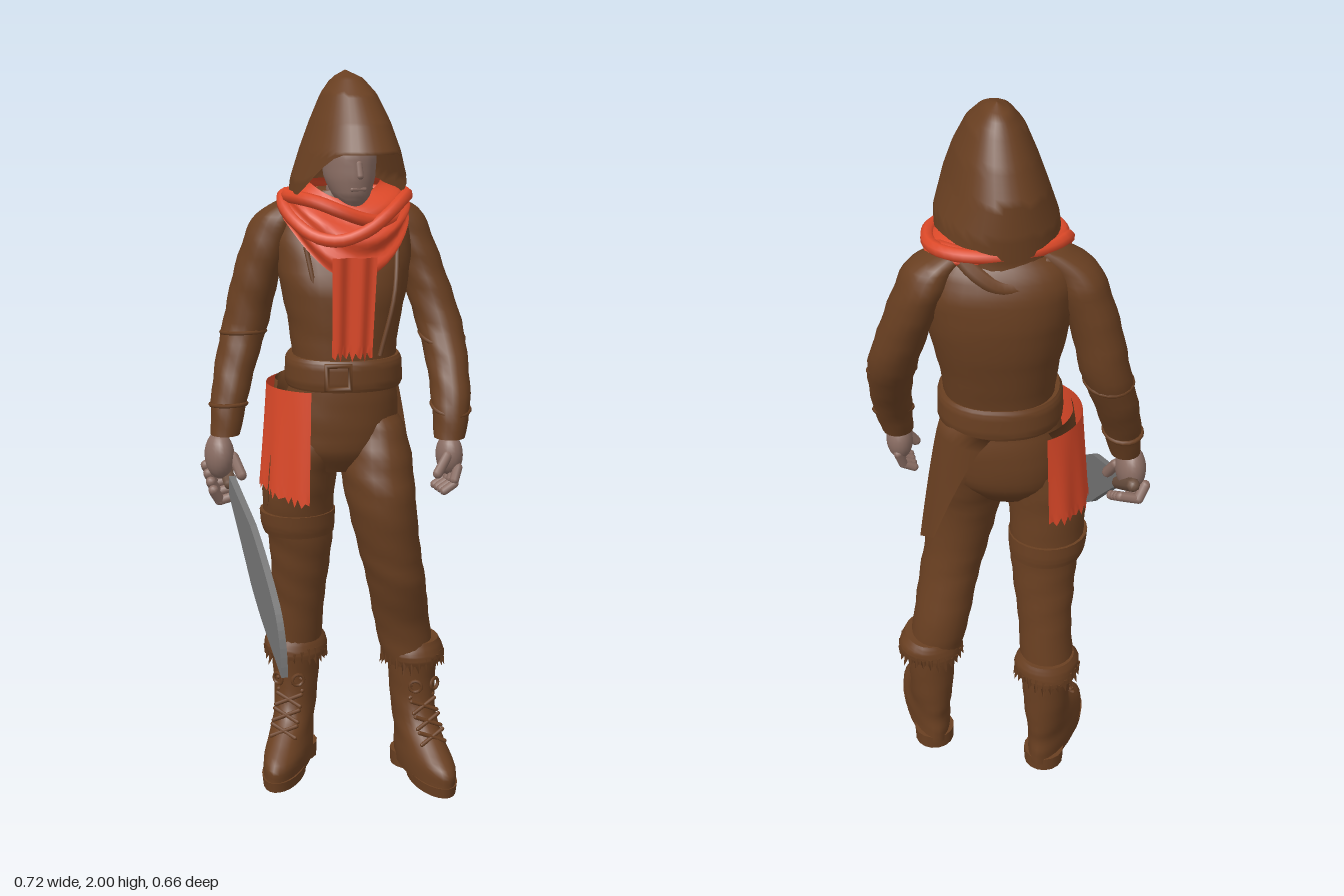
import * as THREE from 'three';
import { toCreasedNormals } from 'three/addons/utils/BufferGeometryUtils.js';
import { ParametricGeometry } from 'three/addons/geometries/ParametricGeometry.js';

const { sin, cos, PI } = Math;
const { lerp, smoothstep } = THREE.MathUtils;
const mat = (name, color) => Object.assign(new THREE.MeshStandardMaterial({ color, side: THREE.DoubleSide }), { name });
const bulge = (s, power) => Math.sign(s) * Math.abs(s) ** power;

export function createModel() {
  const leather = mat('brown cloth', 0x693f21), red = mat('red cloth', 0xdb4828);
  const skin = mat('skin', 0x8a6d63), steel = mat('steel', 0x767676), grip = mat('grip', 0x6b5040);
  const model = new THREE.Group();

  const add = (name, geo, m, parent = model) => {
    const mesh = new THREE.Mesh(geo, m);
    mesh.name = name;
    parent.add(mesh);
    return mesh;
  };

  // Smooth stack of horizontal ellipses, rows [x, y, z, rx, rz] from the bottom up
  const loft = (rows, { yaw = 0, wrinkle = 0, n = 24, steps = 4, power = 1 } = {}) => {
    const mid = new THREE.CatmullRomCurve3(rows.map(r => new THREE.Vector3(r[0], r[1], r[2])));
    const rad = new THREE.CatmullRomCurve3(rows.map(r => new THREE.Vector3(r[3], r[4], 0)));
    const pos = [], idx = [], count = (rows.length - 1) * steps;
    for (let j = -1; j <= count + 1; j++) {
      const t = Math.min(Math.max(j / count, 0), 1), c = mid.getPoint(t), r = rad.getPoint(t);
      const k = j < 0 || j > count ? 0.001 : 1;
      for (let i = 0; i < n; i++) {
        const a = i / n * 2 * PI;
        const w = k * (1 + wrinkle * sin(70 * c.y + 3 * sin(a + 1)));
        const dx = r.x * bulge(sin(a), power) * w, dz = r.y * bulge(cos(a), power) * w;
        pos.push(c.x + dx * cos(yaw) + dz * sin(yaw), c.y, c.z - dx * sin(yaw) + dz * cos(yaw));
      }
    }
    for (let j = 0; j < count + 2; j++) for (let i = 0; i < n; i++) {
      const a = j * n + i, b = j * n + (i + 1) % n;
      idx.push(a, b, a + n, b, b + n, a + n);
    }
    const g = new THREE.BufferGeometry();
    g.setAttribute('position', new THREE.Float32BufferAttribute(pos, 3));
    g.setIndex(idx);
    return toCreasedNormals(g, 0.9);
  };
  const sheet = (fn, nu, nv) => new ParametricGeometry((u, v, p) => p.set(...fn(u, v)), nu, nv);

  // Rod between two points, used for fingers, laces and handle
  const rod = (name, a, b, r, m, parent) => {
    const p = new THREE.Vector3(...a), q = new THREE.Vector3(...b);
    const mesh = add(name, new THREE.CapsuleGeometry(r, p.distanceTo(q), 4, 8), m, parent);
    mesh.position.copy(p).add(q).multiplyScalar(0.5);
    mesh.quaternion.setFromUnitVectors(new THREE.Vector3(0, 1, 0), q.sub(p).normalize());
  };
  const ball = (name, [x, y, z], [sx, sy, sz], m) => {
    const mesh = add(name, new THREE.SphereGeometry(1, 20, 14), m);
    mesh.position.set(x, y, z);
    mesh.scale.set(sx, sy, sz);
  };

  // Coat body, turned so that its right shoulder lies back
  const yaw = -0.25;
  add('coat', loft([
    [0, 0.93, -0.12, 0.09, 0.085], [0.01, 1, -0.125, 0.15, 0.13], [0.02, 1.1, -0.125, 0.158, 0.138],
    [0.025, 1.2, -0.12, 0.14, 0.132], [0.03, 1.32, -0.13, 0.15, 0.145], [0.035, 1.45, -0.145, 0.176, 0.158],
    [0.04, 1.56, -0.168, 0.188, 0.138], [0.04, 1.63, -0.175, 0.17, 0.11], [0.04, 1.69, -0.16, 0.08, 0.08]
  ], { yaw, wrinkle: 0.008, n: 32, power: 0.86 }), leather);

  // Belt and buckle
  add('belt', loft([
    [0.025, 1.165, -0.12, 0.157, 0.145], [0.025, 1.18, -0.12, 0.162, 0.149],
    [0.025, 1.235, -0.12, 0.16, 0.148], [0.025, 1.25, -0.12, 0.152, 0.142]
  ], { yaw, n: 32, power: 0.9 }), leather);
  const buckle = add('buckle', new THREE.TorusGeometry(0.044, 0.009, 6, 4), leather);
  buckle.position.set(-0.04, 1.21, 0.024);
  buckle.rotation.set(0, -0.3, PI / 4, 'YXZ');

  // Coat tails sweeping from the back of the belt to both sides
  for (const s of [-1, 1]) add(s > 0 ? 'leftCoatTail' : 'rightCoatTail', sheet((u, v) => {
    const a = lerp(1.55, 2.7, u);
    return [
      0.01 + s * lerp(0.172 * sin(a), 0.232 - 0.025 * u, v ** 0.8),
      lerp(1.18, 0.78, v) + 0.04 * u * v,
      lerp(-0.13 + 0.16 * cos(a), (s > 0 ? -0.1 : -0.06) - 0.07 * u, v ** 0.8)
    ];
  }, 8, 8), leather);

  // Lapel edges down the chest
  for (const s of [-1, 1]) add('lapelSeam', new THREE.TubeGeometry(new THREE.CatmullRomCurve3([
    [0.12, 1.55, -0.03], [0.1, 1.42, 0.002], [0.06, 1.26, 0]
  ].map(([x, y, z]) => new THREE.Vector3(0.02 + s * x, y, z + (s > 0 ? 0.018 : -0.034)))), 10, 0.007, 6), leather);

  // Sleeves
  add('leftSleeve', loft([
    [0.268, 1.03, 0.062, 0.042, 0.045], [0.282, 1.12, 0.035, 0.052, 0.06], [0.293, 1.22, -0.02, 0.056, 0.07],
    [0.292, 1.33, -0.085, 0.063, 0.075], [0.265, 1.45, -0.13, 0.062, 0.08], [0.23, 1.56, -0.16, 0.063, 0.085],
    [0.2, 1.63, -0.17, 0.06, 0.075], [0.14, 1.67, -0.17, 0.045, 0.05]
  ], { wrinkle: 0.025, n: 18 }), leather);
  add('rightSleeve', loft([
    [-0.298, 1.03, -0.18, 0.04, 0.043], [-0.28, 1.12, -0.2, 0.05, 0.055], [-0.25, 1.22, -0.23, 0.057, 0.066],
    [-0.213, 1.33, -0.25, 0.063, 0.073], [-0.187, 1.45, -0.24, 0.063, 0.08], [-0.152, 1.56, -0.225, 0.065, 0.083],
    [-0.125, 1.62, -0.215, 0.063, 0.073], [-0.06, 1.67, -0.2, 0.045, 0.05]
  ], { wrinkle: 0.025, n: 18 }), leather);
  for (const [x, y, z, r] of [[0.293, 1.29, -0.06, 0.06], [0.28, 1.11, 0.038, 0.051], [-0.223, 1.3, -0.246, 0.06], [-0.283, 1.11, -0.198, 0.049]]) {
    const band = add('sleeveBand', new THREE.TorusGeometry(r, 0.006, 6, 20), leather);
    band.position.set(x, y, z);
    band.rotation.x = PI / 2 + (x > 0 ? 0.3 : -0.1);
    band.scale.y = 1.13;
  }

  // Left hand, relaxed
  ball('leftHand', [0.262, 0.985, 0.075], [0.036, 0.058, 0.045], skin);
  for (let i = 0; i < 4; i++) {
    const z = 0.045 + 0.022 * i;
    rod('leftFinger', [0.272, 0.955, z], [0.258, 0.915 + 0.003 * i, z + 0.01], 0.013, skin);
    rod('leftFingertip', [0.258, 0.913, z + 0.01], [0.228, 0.897, z + 0.012], 0.012, skin);
  }
  rod('leftThumb', [0.245, 0.99, 0.105], [0.212, 0.945, 0.115], 0.014, skin);

  // Right hand, closed round the handle
  ball('rightHand', [-0.318, 0.972, -0.175], [0.04, 0.066, 0.055], skin);
  for (let i = 0; i < 4; i++) {
    const z = -0.215 + 0.026 * i, y = 0.935 - 0.017 * i;
    rod('rightFinger', [-0.347, y, z], [-0.328, y - 0.032, z - 0.01], 0.015, skin);
    rod('rightFingertip', [-0.328, y - 0.034, z - 0.01], [-0.28, y - 0.022, z - 0.005], 0.014, skin);
  }
  rod('rightThumb', [-0.285, 0.97, -0.15], [-0.272, 0.925, -0.12], 0.015, skin);

  // Long curved blade with its handle
  const blade = new THREE.Shape();
  blade.moveTo(-0.12, 0.925);
  blade.lineTo(0.08, 0.845);
  blade.quadraticCurveTo(0.2, 0.77, 0.28, 0.69);
  blade.quadraticCurveTo(0.335, 0.63, 0.338, 0.52);
  blade.lineTo(0.24, 0.575);
  blade.quadraticCurveTo(0.16, 0.615, 0.08, 0.68);
  blade.quadraticCurveTo(0, 0.76, -0.12, 0.87);
  const bladeMesh = add('blade', new THREE.ExtrudeGeometry(blade, { depth: 0.018, bevelEnabled: false, curveSegments: 8 }), steel);
  bladeMesh.rotation.y = -PI / 2;
  bladeMesh.position.x = -0.29;
  rod('handle', [-0.299, 0.975, -0.26], [-0.299, 0.9, -0.14], 0.019, grip);

  // Legs
  add('rightLeg', loft([
    [-0.09, 0.34, -0.222, 0.075, 0.075], [-0.085, 0.5, -0.2, 0.073, 0.077], [-0.085, 0.6, -0.185, 0.081, 0.081],
    [-0.086, 0.7, -0.172, 0.09, 0.086], [-0.095, 0.8, -0.165, 0.1, 0.095], [-0.09, 0.92, -0.15, 0.1, 0.108],
    [-0.07, 1, -0.14, 0.09, 0.115], [-0.05, 1.08, -0.13, 0.07, 0.1]
  ], { wrinkle: 0.018 }), leather);
  add('leftLeg', loft([
    [0.205, 0.34, -0.058, 0.075, 0.078], [0.183, 0.46, -0.062, 0.079, 0.084], [0.153, 0.6, -0.037, 0.082, 0.098],
    [0.13, 0.7, -0.032, 0.086, 0.103], [0.105, 0.85, -0.038, 0.095, 0.12], [0.1, 0.95, -0.065, 0.1, 0.125],
    [0.1, 1.05, -0.1, 0.085, 0.125], [0.08, 1.12, -0.12, 0.06, 0.1]
  ], { wrinkle: 0.018 }), leather);
  add('thighStrap', loft([
    [-0.092, 0.735, -0.168, 0.1, 0.096], [-0.095, 0.76, -0.167, 0.105, 0.101], [-0.097, 0.8, -0.165, 0.107, 0.102]
  ]), leather);

  // Laced boots with fur cuffs
  for (const [name, x, z, turn] of [['leftBoot', 0.217, -0.062, 0.05], ['rightBoot', -0.088, -0.222, -0.58]]) {
    const boot = new THREE.Group();
    boot.name = name;
    boot.position.set(x, 0, z);
    boot.rotation.y = turn;
    model.add(boot);
    add('bootUpper', loft([
      [0, 0.025, 0.09, 0.06, 0.165], [0, 0.07, 0.088, 0.062, 0.162], [0, 0.12, 0.055, 0.058, 0.125],
      [0, 0.17, 0.016, 0.059, 0.09], [0, 0.25, 0, 0.064, 0.077], [0, 0.36, 0, 0.072, 0.08]
    ], { wrinkle: 0.012 }), leather, boot);
    add('sole', loft([[0, 0.005, 0.135, 0.056, 0.116], [0, 0.035, 0.135, 0.059, 0.12]]), leather, boot);
    const heel = add('heel', new THREE.CylinderGeometry(0.058, 0.056, 0.045, 16), leather, boot);
    heel.position.set(0, 0.0225, -0.012);
    for (let i = 0; i < 5; i++) for (const s of [-1, 1]) {
      const y = 0.13 + i * 0.037, f = zz => zz - Math.min(i, 3) * 0.028;
      rod('lace', [-0.036 * s, y, f(0.148)], [0.036 * s, y + 0.03, f(0.132)], 0.006, leather, boot);
    }
    for (const s of [-1, 1]) {
      const loop = add('laceLoop', new THREE.TorusGeometry(0.017, 0.005, 5, 12), leather, boot);
      loop.position.set(0.03 * s, 0.285, 0.088);
      loop.rotation.y = s * 0.5;
    }
    add('furCuff', loft([
      [0, 0.345, 0, 0.088, 0.09], [0, 0.365, 0, 0.09, 0.094], [0, 0.385, 0, 0.087, 0.09], [0, 0.408, 0, 0.074, 0.078]
    ], { wrinkle: 0.03 }), leather, boot);
    for (let i = 0; i < 26; i++) {
      const a = i / 26 * 2 * PI;
      const tuft = add('furTuft', new THREE.ConeGeometry(0.014, 0.04 + 0.012 * sin(i * 5), 4), leather, boot);
      tuft.position.set(0.086 * sin(a), 0.345 + 0.006 * sin(i * 7), 0.089 * cos(a));
      tuft.rotation.set(PI - 0.35, a, 0, 'YXZ');
    }
  }

  // Head under the hood
  add('head', loft([
    [0.027, 1.655, -0.05, 0.025, 0.03], [0.027, 1.68, -0.062, 0.047, 0.058], [0.028, 1.73, -0.08, 0.066, 0.082],
    [0.03, 1.79, -0.09, 0.07, 0.09], [0.03, 1.85, -0.1, 0.04, 0.05]
  ], { power: 0.95 }), skin);
  rod('nose', [0.027, 1.765, -0.002], [0.027, 1.735, 0.008], 0.009, skin);
  rod('mouth', [0.01, 1.7, -0.006], [0.044, 1.7, -0.006], 0.006, skin);
  add('neck', new THREE.CylinderGeometry(0.055, 0.06, 0.12, 16), skin).position.set(0.035, 1.64, -0.12);

  // Hood rows: height, left and right edge, back and front edge
  const hood = [
    [1.58, -0.11, 0.17, -0.285, 0.04], [1.66, -0.125, 0.18, -0.272, 0.07], [1.72, -0.12, 0.176, -0.275, 0.1],
    [1.8, -0.093, 0.148, -0.268, 0.114], [1.87, -0.067, 0.128, -0.235, 0.066], [1.94, -0.037, 0.1, -0.195, 0.005],
    [1.98, -0.005, 0.07, -0.17, -0.05], [2, 0.035, 0.035, -0.13, -0.13]
  ];
  add('hood', sheet((u, v) => {
    const a = -PI + u * 2 * PI, back = Math.max(-cos(a), 0);
    const hem = 1.685 + 0.11 * smoothstep(cos(a), 0.1, 0.85) - 0.09 * back ** 1.5;
    const y = lerp(hem, 2, v);
    const j = hood.findIndex((r, k) => k > 0 && y <= r[0] + 1e-6);
    const [p, q] = [hood[j - 1], hood[j]], t = (y - p[0]) / (q[0] - p[0]);
    const [, x0, x1, z0, z1] = p.map((n, k) => lerp(n, q[k], t));
    return [(x0 + x1) / 2 + (x1 - x0) / 2 * bulge(sin(a), 0.93), y, (z0 + z1) / 2 + (z1 - z0) / 2 * bulge(cos(a), 0.93)];
  }, 40, 24), leather);

  // Folds of the hood drooping over the upper back
  for (const [low, r] of [[1.565, 0.12], [1.6, 0.125]]) add('hoodFold', new THREE.TubeGeometry(new THREE.CatmullRomCurve3(
    [-1.3, -0.8, -0.3, 0.2, 0.7, 1.2].map(a => new THREE.Vector3(
      0.03 + r * sin(a), low + 0.08 * sin(a) ** 2, -0.155 - r * cos(a)))
  ), 24, 0.022, 8), leather);

  // Scarf wound round the neck, low in front and tucked under the hood behind
  const loopDepth = a => cos(a) > 0 ? 1.05 : 0.65;
  add('scarf', sheet((u, v) => {
    const a = -PI + u * 2 * PI, f = Math.max(cos(a + 0.2), 0) ** 2;
    const low = 1.625 - 0.155 * f, high = 1.715 - 0.045 * f;
    const r = 0.1 + 0.077 * sin(Math.min(1, (1 - v) * 1.5) * PI / 2) + 0.006 * sin(v * 16 + 3 * sin(a));
    return [0.035 + r * 0.98 * sin(a), lerp(low, high, v), -0.145 + r * loopDepth(a) * cos(a)];
  }, 40, 16), red);
  for (const [drop, r, tilt] of [[0.075, 0.168, 0.5], [0.03, 0.155, -0.4]]) {
    const path = Array.from({ length: 16 }, (_, i) => {
      const a = i / 16 * 2 * PI, f = Math.max(cos(a + tilt), 0) ** 2;
      return new THREE.Vector3(0.035 + r * sin(a), 1.675 - f * (drop + 0.03), -0.145 + r * loopDepth(a) * cos(a));
    });
    add('scarfFold', new THREE.TubeGeometry(new THREE.CatmullRomCurve3(path, true), 48, 0.018, 8, true), red);
  }

  // Scarf end with a ragged lower edge
  const ragged = (u, v, k) => v > 0.99 ? 0.014 * sin(u * k) : 0;
  add('scarfEnd', sheet((u, v) => [
    -0.003 + (u - 0.5) * 0.115 * (1 - 0.1 * v), lerp(1.53, 1.265, v) + ragged(u, v, 60),
    lerp(0.052, 0.03, v) + 0.007 * sin(u * 12) - 0.03 * (0.5 - u)
  ], 16, 8), red);

  // Red cloth hung from the belt over the right hip
  add('hipCloth', sheet((u, v) => {
    const a = lerp(-0.62, -2.85, u), k = 1 + 0.12 * v + 0.02 * sin(u * 30) * v;
    return [-0.005 + 0.182 * k * sin(a), lerp(1.17, 0.86 + 0.06 * u, v) + ragged(u, v, 110), -0.13 + 0.168 * k * cos(a)];
  }, 40, 8), red);

  return model;
}
